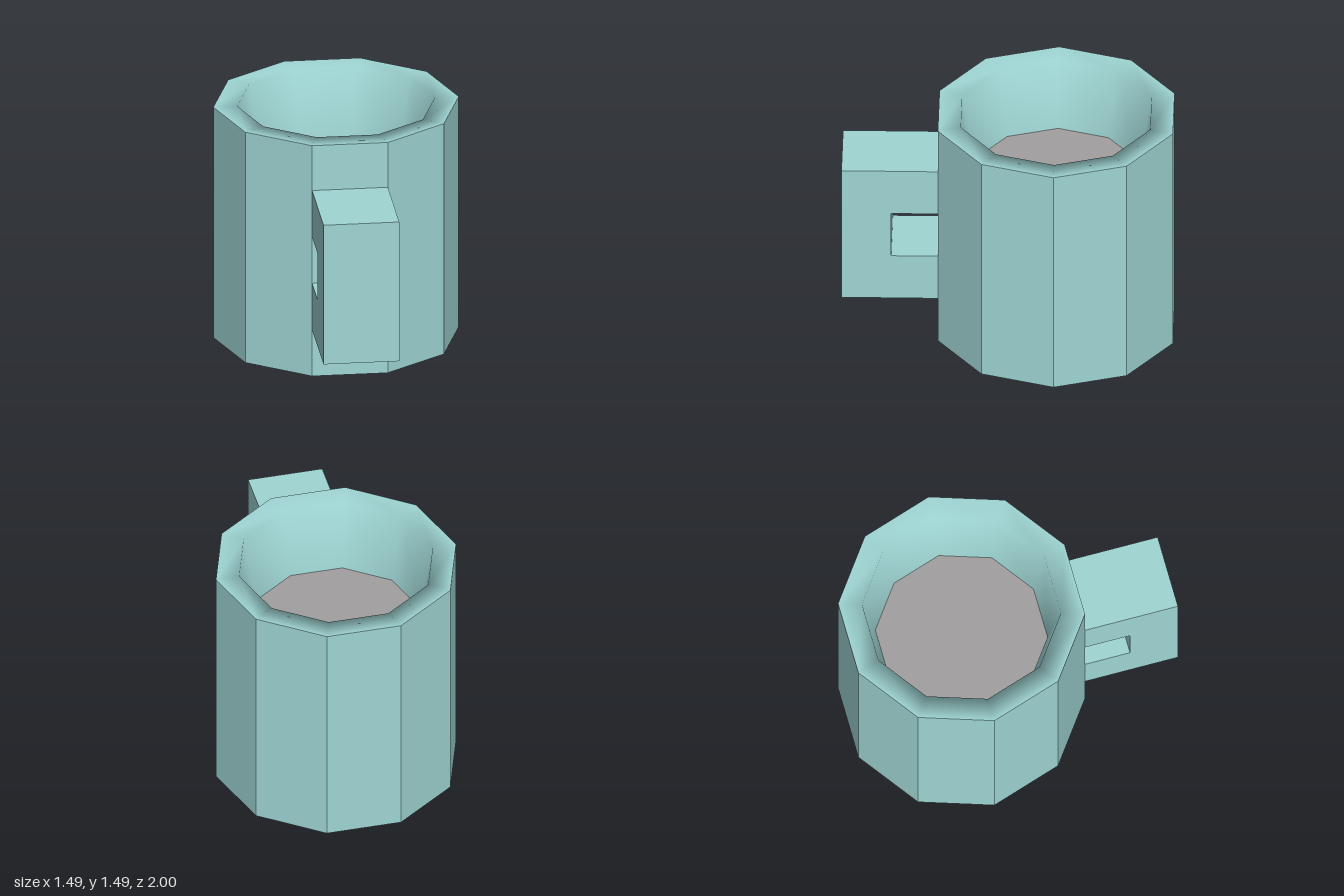
import * as THREE from 'three';

const SIDES = 10;
const PHI = Math.PI / SIDES; // puts a flat facet towards +z
const RADIUS = 0.745, HEIGHT = 1.49, LIQUID_Y = 1.05;
const BODY_Z = -0.29;
const FACE_Z = BODY_Z + RADIUS * Math.cos(PHI); // front facet carrying the handle

function lathe(profile) {
  const points = profile.map(([r, y]) => new THREE.Vector2(r, y));
  return new THREE.LatheGeometry(points, SIDES, PHI);
}

export function createModel() {
  const model = new THREE.Group();
  model.name = 'mug';
  const TEAL = 0x9fd6d4;
  const faceted = new THREE.MeshStandardMaterial({ color: TEAL, flatShading: true });
  const smooth = new THREE.MeshStandardMaterial({ color: TEAL });
  const liquidMaterial = new THREE.MeshStandardMaterial({ color: 0xa29f9f });

  function add(name, geometry, material, z = 0) {
    const mesh = new THREE.Mesh(geometry, material);
    mesh.name = name;
    mesh.position.z = z;
    model.add(mesh);
  }

  // Ten-sided outer wall with its base
  add('outerWall', lathe([[0, 0], [RADIUS, 0], [RADIUS, HEIGHT]]), faceted, BODY_Z);

  // Rim running smoothly into the tapered inner wall
  add('rimAndInnerWall', lathe([[RADIUS, HEIGHT], [0.6, HEIGHT], [0.52, LIQUID_Y]]), smooth, BODY_Z);

  // Liquid surface
  const liquid = new THREE.CircleGeometry(0.52, SIDES);
  liquid.rotateX(-Math.PI / 2);
  liquid.translate(0, LIQUID_Y, 0);
  add('liquid', liquid, liquidMaterial, BODY_Z);

  // Square C-shaped handle: side outline in (z, y), extruded across x
  const outline = new THREE.Shape([
    [FACE_Z, 0.3], [1, 0.3], [1, 1.2], [FACE_Z, 1.2],
    [FACE_Z, 0.9], [0.7, 0.9], [0.7, 0.6], [FACE_Z, 0.6],
  ].map(([z, y]) => new THREE.Vector2(z, y)));
  const width = 0.46;
  const handle = new THREE.ExtrudeGeometry(outline, { depth: width, bevelEnabled: false });
  handle.rotateY(-Math.PI / 2);
  handle.translate(width / 2, 0, 0);
  add('handle', handle, faceted);

  return model;
}
